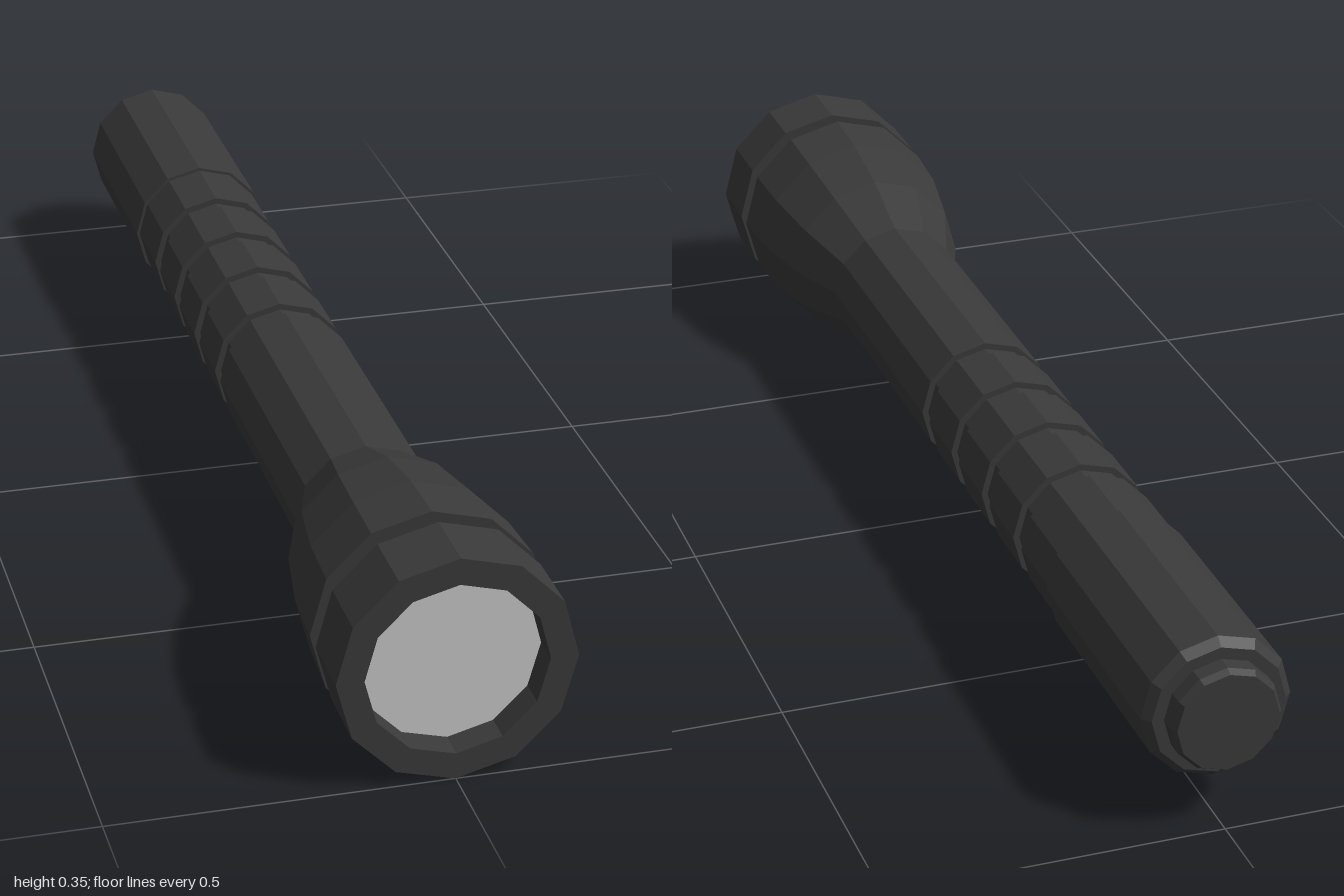
import * as THREE from 'three';

const SIDES = 12;
const AXIS_Y = 0.1745;

export function createModel() {
  const model = new THREE.Group();
  model.name = 'flashlight';
  const casing = new THREE.MeshStandardMaterial({ color: 0x3a3a3a, flatShading: true });
  casing.name = 'dark casing';
  const glass = new THREE.MeshStandardMaterial({ color: 0xc9c9c9, flatShading: true });
  glass.name = 'pale lens';

  // Turned part: profile of [radius, z] from back to front, spun around the z axis
  function turned(name, profile) {
    const points = profile.map(([r, z]) => new THREE.Vector2(r, z));
    const geometry = new THREE.LatheGeometry(points, SIDES).rotateX(Math.PI / 2);
    const mesh = new THREE.Mesh(geometry, casing);
    mesh.name = name;
    mesh.position.y = AXIS_Y;
    model.add(mesh);
  }

  // Push button on the back end
  turned('tailButton', [[0, -1], [0.076, -1], [0.082, -0.99], [0.082, -0.96]]);

  // Wider tail cap with a small chamfer
  turned('tailCap', [[0, -0.965], [0.1, -0.965], [0.112, -0.952], [0.112, -0.568], [0.106, -0.568]]);

  // Straight barrel, cut by four evenly spaced grip grooves
  const barrel = [[0.107, -0.568]];
  for (let i = 0; i < 4; i++) {
    const back = -0.442 + i * 0.148;
    const front = back + 0.037;
    barrel.push([0.107, back], [0.097, back], [0.097, front], [0.107, front]);
  }
  barrel.push([0.107, 0.52]);
  turned('barrel', barrel);

  // Flared head
  turned('head', [[0.107, 0.52], [0.147, 0.635], [0.168, 0.755], [0.1735, 0.86], [0.147, 0.86]]);

  // Neck groove between head and bezel
  turned('neck', [[0.147, 0.86], [0.147, 0.892]]);

  // Bezel ring with its inner wall running back to the lens
  turned('bezel', [[0.147, 0.892], [0.1735, 0.892], [0.1735, 1], [0.133, 1], [0.133, 0.955]]);

  // Recessed lens
  const lens = new THREE.Mesh(new THREE.CircleGeometry(0.133, SIDES), glass);
  lens.name = 'lens';
  lens.position.set(0, AXIS_Y, 0.955);
  model.add(lens);

  return model;
}
